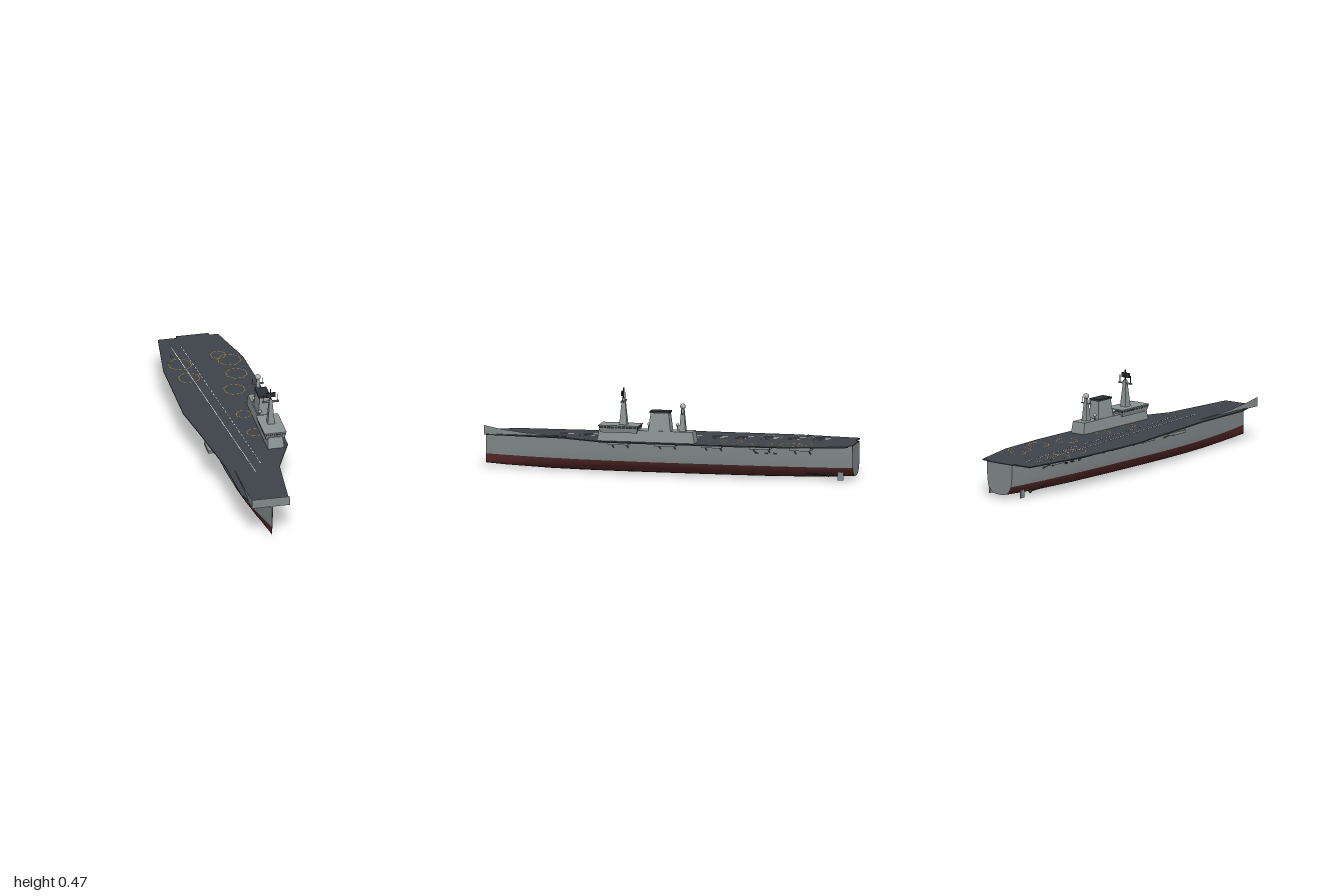
import * as THREE from 'three';

const mat = (name, color, side = THREE.FrontSide) => {
  const m = new THREE.MeshStandardMaterial({ color, side });
  m.name = name;
  return m;
};

export function createModel() {
  const hullGrey = mat('hullGrey', 0x828b8a);
  const islandGrey = mat('islandGrey', 0x8b9493);
  const hullRed = mat('hullRed', 0x552828);
  const deckDark = mat('deckDark', 0x3d4349);
  const darkMetal = mat('darkMetal', 0x2b3034);
  const white = mat('markingWhite', 0xd8d8d0);
  const orange = mat('markingOrange', 0xc08a30);
  const radomeGrey = mat('radomeGrey', 0xa4abaa);

  const ship = new THREE.Group();
  ship.name = 'carrier';
  const add = (name, geo, material, x = 0, y = 0, z = 0) => {
    const mesh = new THREE.Mesh(geo, material);
    mesh.name = name;
    mesh.position.set(x, y, z);
    ship.add(mesh);
    return mesh;
  };
  const box = (name, m, w, h, d, x, y, z) => add(name, new THREE.BoxGeometry(w, h, d), m, x, y, z);
  // Box standing on y whose top face is resized
  const taper = (name, m, w0, d0, w1, d1, h, x, y, z) => {
    const g = new THREE.BoxGeometry(w0, h, d0).translate(0, h / 2, 0);
    const p = g.attributes.position;
    for (let i = 0; i < p.count; i++) {
      if (p.getY(i) > h / 2) p.setXYZ(i, p.getX(i) * w1 / w0, h, p.getZ(i) * d1 / d0);
    }
    g.computeVertexNormals();
    return add(name, g, m, x, y, z);
  };
  // Round bar between two points
  const bar = (name, m, a, b, r) => {
    const va = new THREE.Vector3(...a), vb = new THREE.Vector3(...b);
    const dir = vb.clone().sub(va);
    const mesh = add(name, new THREE.CylinderGeometry(r, r, dir.length(), 8), m);
    mesh.position.copy(va).add(vb).multiplyScalar(0.5);
    mesh.quaternion.setFromUnitVectors(new THREE.Vector3(0, 1, 0), dir.normalize());
    return mesh;
  };
  const ball = (name, m, r, x, y, z) => add(name, new THREE.SphereGeometry(r, 16, 12), m, x, y, z);

  // Hull: z, half beam, keel height
  const WATER = 0.068, TOP = 0.184;
  const stations = [
    [-1, 0.088, 0.016], [-0.9, 0.1, 0.011], [-0.75, 0.112, 0.005], [-0.5, 0.122, 0.001], [-0.2, 0.126, 0],
    [0.1, 0.125, 0], [0.3, 0.118, 0], [0.48, 0.104, 0.001], [0.64, 0.082, 0.003], [0.78, 0.056, 0.008],
    [0.9, 0.028, 0.013], [1, 0.001, 0.02],
  ];
  const loft = (rows) => {
    const pos = [], idx = [], n = rows.length;
    stations.forEach(([z, b, keel]) => rows.forEach(([u, v, above]) => {
      pos.push(u * b, above ? WATER + (TOP - WATER) * v : keel + (WATER - keel) * v, z);
    }));
    for (let i = 0; i < stations.length - 1; i++) {
      for (let j = 0; j < n - 1; j++) {
        const a = i * n + j, c = a + n;
        idx.push(a, a + 1, c, a + 1, c + 1, c);
      }
    }
    const g = new THREE.BufferGeometry();
    g.setAttribute('position', new THREE.Float32BufferAttribute(pos, 3));
    g.setIndex(idx);
    g.computeVertexNormals();
    return g;
  };
  const mirrorRow = ([u, v, above]) => [-u, v, above];
  const low = [[0.25, 0.04], [0.48, 0.13], [0.64, 0.3], [0.77, 0.53], [0.86, 0.8], [0.9, 1]];
  const high = [[0.9, 0, 1], [0.955, 0.3, 1], [1, 1, 1]];
  add('hullBottom', loft([...low.map(mirrorRow).reverse(), [0, 0], ...low]), hullRed);
  add('hullSideLeft', loft(high), hullGrey);
  add('hullSideRight', loft(high.map(mirrorRow).reverse()), hullGrey);

  // Flat transom
  const [sz, sb, sk] = stations[0];
  const half = [...low.map(([u, v]) => [u * sb, sk + (WATER - sk) * v]),
    ...high.slice(1).map(([u, v]) => [u * sb, WATER + (TOP - WATER) * v])];
  const outline = [...half, ...half.map(([x, y]) => [-x, y]).reverse()];
  const transom = new THREE.Shape(outline.map(([x, y]) => new THREE.Vector2(x, y)));
  add('transom', new THREE.ShapeGeometry(transom).rotateY(Math.PI), hullGrey, 0, 0, sz);

  // Flight deck
  const deckPts = [
    [-0.19, -0.98], [0.135, -0.98], [0.21, -0.7], [0.232, -0.4], [0.232, 0.32], [0.137, 0.555], [0.103, 0.975],
    [-0.08, 0.99], [-0.13, 0.83], [-0.145, 0.5], [-0.195, 0.13], [-0.235, -0.14], [-0.235, -0.635],
  ];
  const deckShape = new THREE.Shape(deckPts.map(([x, z]) => new THREE.Vector2(x, z)));
  const deckGeo = new THREE.ExtrudeGeometry(deckShape, { depth: 0.006, bevelEnabled: false }).rotateX(Math.PI / 2);
  add('flightDeck', deckGeo, deckDark, 0, 0.1885, 0);
  box('sternLip', deckDark, 0.176, 0.006, 0.03, 0, 0.1855, -0.985);

  // Curved bow ramp walls
  const rampZ = 0.99, rise = [[0.5, 0.188], [0.65, 0.193], [0.78, 0.202], [0.9, 0.217], [rampZ, 0.234]];
  for (const s of [-1, 1]) {
    const pts = [...rise, [rampZ, 0.184], [0.5, 0.184]].map(([z, y]) => new THREE.Vector2(-s * z, y));
    const wall = new THREE.ShapeGeometry(new THREE.Shape(pts)).rotateY(s * Math.PI / 2);
    add('rampSide', wall, hullGrey, s > 0 ? 0.1 : -0.105, 0, 0);
  }
  add('rampFront', new THREE.PlaneGeometry(0.205, 0.05), hullGrey, -0.0025, 0.209, rampZ);

  // Angled landing lines
  const stripe = (name, x0, z0, x1, z1) => {
    const m = box(name, white, 0.004, 0.001, Math.hypot(x1 - x0, z1 - z0), (x0 + x1) / 2, 0.189, (z0 + z1) / 2);
    m.rotation.y = Math.atan2(x1 - x0, z1 - z0);
  };
  stripe('landingLine', -0.14, -0.88, 0, 0.6);
  for (let i = 0; i < 35; i++) {
    const z = -0.88 + i * 0.04, at = (q) => -0.087 + (q + 0.88) * 0.0957;
    stripe('landingDash', at(z), z, at(z + 0.022), z + 0.022);
  }

  // Eight-sided parking marks
  const spots = [[0.13, -0.68, 0.06], [0.085, -0.745, 0.04], [0.135, -0.52, 0.055], [0.087, -0.345, 0.055],
    [0.075, -0.06, 0.04], [0.087, 0.155, 0.04], [-0.135, -0.68, 0.06], [-0.12, -0.52, 0.055]];
  for (const [x, z, r] of spots) {
    const outer = r / Math.cos(Math.PI / 8);
    const ring = new THREE.RingGeometry(outer - 0.003, outer, 8, 1, Math.PI / 8).rotateX(-Math.PI / 2);
    add('parkingMark', ring, orange, x, 0.1893, z);
  }

  // Side platforms with struts
  for (const s of [-1, 1]) {
    for (const z of [0.245, -0.01, -0.26, -0.52, -0.74]) {
      box('sidePlatform', hullGrey, 0.065, 0.016, 0.11, s * 0.161, 0.175, z);
      for (const dz of [-0.04, 0.04]) {
        bar('platformStrut', hullGrey, [s * 0.168, 0.168, z + dz], [s * 0.112, 0.14, z + dz], 0.003);
      }
    }
    // Rudder, shaft and propeller
    box('rudder', hullGrey, 0.007, 0.044, 0.032, s * 0.106, 0.027, -0.94);
    bar('propellerShaft', darkMetal, [s * 0.106, 0.03, -0.885], [s * 0.1, 0.034, -0.76], 0.0035);
    ball('propeller', darkMetal, 0.0095, s * 0.106, 0.03, -0.875).scale.z = 0.6;
    for (const z of [-0.49, -0.54, -0.59]) box('hullPort', darkMetal, 0.008, 0.008, 0.018, s * 0.117, 0.138, z);
  }
  for (const [x, z] of [[-0.19, -0.7], [-0.162, -0.77]]) {
    add('mountBase', new THREE.CylinderGeometry(0.004, 0.005, 0.006, 10), islandGrey, x, 0.19, z);
    ball('mountDome', islandGrey, 0.0045, x, 0.194, z);
  }

  // Island and bridge
  const ix = 0.16;
  taper('islandBase', islandGrey, 0.088, 0.527, 0.08, 0.505, 0.062, ix, 0.187, 0.092);
  taper('bridge', islandGrey, 0.1, 0.195, 0.112, 0.208, 0.024, ix, 0.235, 0.237);
  box('bridgeWindows', darkMetal, 0.112, 0.012, 0.208, ix, 0.264, 0.237);
  box('bridgeRoof', islandGrey, 0.12, 0.004, 0.216, ix, 0.272, 0.237);
  for (let i = 0; i <= 10; i++) {
    box('windowPostFront', islandGrey, 0.0022, 0.012, 0.003, ix - 0.055 + i * 0.011, 0.264, 0.341);
    for (const s of [-1, 1]) box('windowPostSide', islandGrey, 0.003, 0.012, 0.0025, ix + s * 0.056, 0.264, 0.139 + i * 0.02);
  }

  // Funnel
  taper('funnel', islandGrey, 0.07, 0.12, 0.054, 0.098, 0.097, ix, 0.247, 0.02);
  box('funnelCap', darkMetal, 0.064, 0.01, 0.108, ix, 0.348, 0.02);

  // Forward mast with radar
  const fz = 0.22;
  taper('forwardMast', islandGrey, 0.038, 0.042, 0.014, 0.016, 0.143, ix, 0.272, fz);
  box('mastYard', islandGrey, 0.09, 0.006, 0.014, ix, 0.398, fz);
  for (const s of [-1, 1]) bar('yardAntenna', darkMetal, [ix + s * 0.036, 0.398, fz], [ix + s * 0.036, 0.44, fz], 0.0018);
  bar('mastPole', darkMetal, [ix, 0.41, fz], [ix, 0.47, fz], 0.003);
  box('radarPanel', darkMetal, 0.052, 0.025, 0.008, ix, 0.44, fz + 0.005);

  // Aft mast with radome
  const az = -0.1;
  taper('aftMast', islandGrey, 0.034, 0.034, 0.014, 0.014, 0.122, ix, 0.248, az);
  box('aftYard', islandGrey, 0.064, 0.005, 0.01, ix, 0.342, az);
  for (const s of [-1, 1]) bar('aftAntenna', darkMetal, [ix + s * 0.027, 0.342, az], [ix + s * 0.027, 0.374, az], 0.0018);
  ball('aftRadome', radomeGrey, 0.015, ix, 0.38, az);

  // Small radomes beside the funnel
  for (const z of [0.09, -0.065]) {
    add('radomePost', new THREE.CylinderGeometry(0.004, 0.005, 0.025, 10), islandGrey, 0.13, 0.258, z);
    ball('sideRadome', radomeGrey, 0.009, 0.13, 0.275, z);
  }
  return ship;
}
